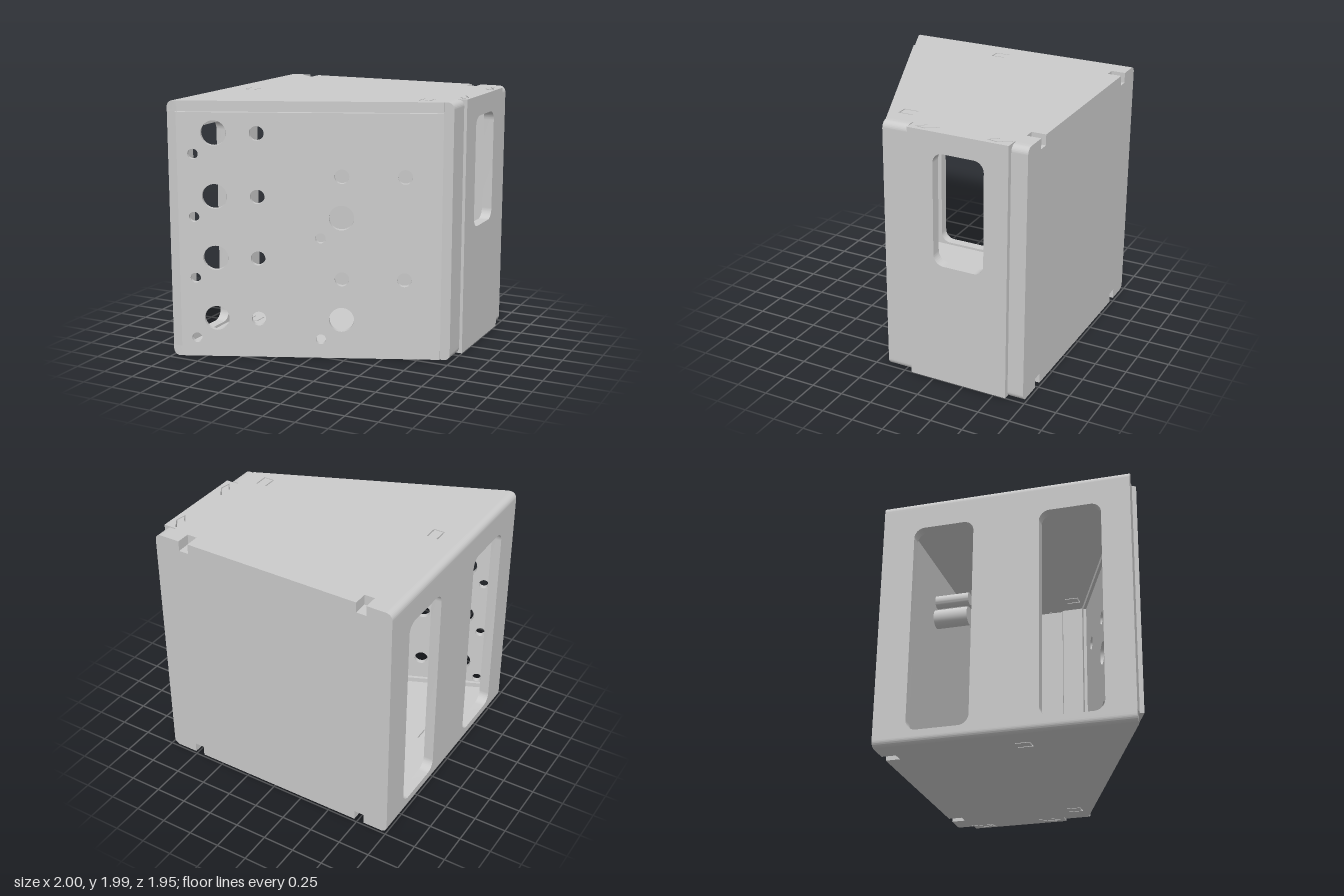
import * as THREE from 'three';
import { toCreasedNormals } from 'three/addons/utils/BufferGeometryUtils.js';

const H = 1.985, T = 0.08, BACK = -0.98;
const grey = new THREE.MeshStandardMaterial({ color: 0xcccccc });

const poly = (pts) => new THREE.Shape(pts.map(([x, y]) => new THREE.Vector2(x, y)));
const rect = (x0, y0, x1, y1) => poly([[x0, y0], [x1, y0], [x1, y1], [x0, y1]]);

function roundRect(x0, y0, x1, y1, r) {
  const s = new THREE.Shape();
  s.absarc(x1 - r, y1 - r, r, 0, Math.PI / 2);
  s.absarc(x0 + r, y1 - r, r, Math.PI / 2, Math.PI);
  s.absarc(x0 + r, y0 + r, r, Math.PI, Math.PI * 1.5);
  s.absarc(x1 - r, y0 + r, r, Math.PI * 1.5, Math.PI * 2);
  s.closePath();
  return s;
}

// thin slot following a polyline
function slot(pts, w = 0.01) {
  const v = pts.map(([x, y]) => new THREE.Vector2(x, y));
  const side = (k) => v.map((p, i) => {
    const a = v[Math.max(i - 1, 0)], b = v[Math.min(i + 1, v.length - 1)];
    const d1 = (i ? p.clone().sub(a) : b.clone().sub(p)).normalize();
    const d2 = (i < v.length - 1 ? b.clone().sub(p) : d1.clone()).normalize();
    const n1 = new THREE.Vector2(-d1.y, d1.x), n2 = new THREE.Vector2(-d2.y, d2.x);
    const m = n1.clone().add(n2).normalize();
    return p.clone().addScaledVector(m, k * w / 2 / Math.max(m.dot(n1), 0.4));
  });
  return new THREE.Shape([...side(1), ...side(-1).reverse()]);
}

function extrude(shape, depth, holes = []) {
  shape.holes.push(...holes);
  return new THREE.ExtrudeGeometry(shape, { depth, bevelEnabled: false, curveSegments: 16 });
}

export function createModel() {
  const group = new THREE.Group();
  const add = (name, geometry, parent = group) => {
    const mesh = new THREE.Mesh(toCreasedNormals(geometry, 0.6), grey);
    mesh.name = name;
    parent.add(mesh);
    return mesh;
  };

  // depth of the sloping front edge at a given x
  const front = (x) => THREE.MathUtils.clamp(0.15 + (0.92 - x) * 0.4247, 0.15, 0.94);

  // top and bottom plates, with back notches, cut tabs and clip slots
  const plateShape = () => poly([
    [-0.92, BACK], [-0.80, BACK], [-0.80, -0.87], [-0.72, -0.87], [-0.72, BACK],
    [0.69, BACK], [0.69, -0.87], [0.77, -0.87], [0.77, BACK],
    [0.90, BACK], [0.90, -0.845], [1.0, -0.845], [1.0, -0.06], [0.90, -0.06],
    [0.90, front(0.90)], [-0.92, front(-0.92)],
  ]);
  const plateHoles = () => [
    ...[-0.80, 0.695].map((x) => slot([[x, 0.02], [x, 0.13], [x + 0.08, 0.13], [x + 0.08, 0.02]])),
    ...[-0.83, -0.27].map((z) => slot([[0.905, z], [0.966, z + 0.09], [0.952, z + 0.165], [0.90, z + 0.1]])),
  ];
  for (const [name, y] of [['topPlate', H], ['bottomPlate', T]]) {
    add(name, extrude(plateShape(), T, plateHoles()).rotateX(Math.PI / 2).translate(0, y, 0));
  }

  // rounded edge strips along the four long corners
  function edgeStrip(name, x, sx, top, z0, z1) {
    const r = 0.05, s = new THREE.Shape();
    s.moveTo(-T, -T).lineTo(0, -T).lineTo(0, -r).absarc(-r, -r, r, 0, Math.PI / 2).lineTo(-T, 0);
    s.closePath();
    const g = extrude(s, z1 - z0);
    // turn the rounded corner outwards
    const turn = sx > 0 ? (top ? 0 : -Math.PI / 2) : (top ? Math.PI / 2 : Math.PI);
    g.rotateZ(turn).translate(x, top ? H : 0, z0);
    const p = g.attributes.position;
    for (let i = 0; i < p.count; i++) {
      if (p.getZ(i) > 0) p.setZ(i, Math.min(p.getZ(i), front(p.getX(i))));
    }
    g.computeVertexNormals();
    add(name, g);
  }
  for (const top of [true, false]) {
    edgeStrip('rightEdge', -1, -1, top, BACK, 0.94);
    edgeStrip('leftRearEdge', 0.98, 1, top, BACK, -0.855);
    edgeStrip('leftFrontEdge', 0.98, 1, top, -0.05, 0.15);
  }

  // side walls, drawn in z and y
  const sideWall = (name, xMax, z0, z1, y0, y1, holes) =>
    add(name, extrude(rect(z0, y0, z1, y1), T, holes).rotateY(-Math.PI / 2).translate(xMax, 0, 0));
  sideWall('rightWall', -0.92, BACK, 0.94, T, H - T, [
    roundRect(-0.73, 0.1, -0.26, 1.75, 0.08),
    roundRect(0.25, 0.1, 0.72, 1.75, 0.08),
  ]);
  sideWall('leftRearPost', 0.98, BACK, -0.855, T, H - T, []);
  sideWall('leftFrontPost', 0.98, -0.05, 0.15, T, H - T, []);
  sideWall('leftCover', 1.0, -0.845, -0.06, T, H - T, [roundRect(-0.66, 0.96, -0.26, 1.83, 0.08)]);

  // back wall
  add('backWall', extrude(rect(-0.92, T, 0.9, H - T), 0.12).translate(0, 0, BACK));

  // sloping front panel with its seat frame
  const slope = Math.atan2(0.78, 1.822);
  const panel = new THREE.Group();
  panel.name = 'frontPanel';
  panel.position.set(0.006, 0, 0.58);
  panel.rotation.y = slope;
  group.add(panel);
  const holes = [];
  const drill = (x, y, r) => {
    const h = new THREE.Path();
    h.absarc((x - 0.006) / Math.cos(slope), y, r, 0, Math.PI * 2);
    holes.push(h);
  };
  for (const y of [0.32, 0.795, 1.27, 1.75]) {
    drill(-0.65, y, 0.095);
    drill(-0.355, y, 0.055);
    drill(-0.795, y - 0.158, 0.039);
  }
  for (const y of [0.64, 1.43]) {
    drill(0.228, y, 0.055);
    drill(0.662, y, 0.055);
  }
  for (const y of [0.32, 1.115]) {
    drill(0.225, y, 0.095);
    drill(0.08, y - 0.158, 0.039);
  }
  add('panelSheet', extrude(rect(-0.99, 0.085, 0.99, 1.905), 0.043, holes).translate(0, 0, -0.043), panel);
  add('panelSeat', extrude(rect(-0.99, 0.06, 0.99, 1.92), 0.025, [rect(-0.93, 0.12, 0.93, 1.865)])
    .translate(0, 0, -0.07), panel);

  // round posts inside, on the back wall
  for (const [y, r] of [[1.59, 0.053], [1.435, 0.077]]) {
    add('innerPost', new THREE.CylinderGeometry(r, r, 0.3, 32).rotateX(Math.PI / 2).translate(-0.1, y, -0.73));
  }
  return group;
}
